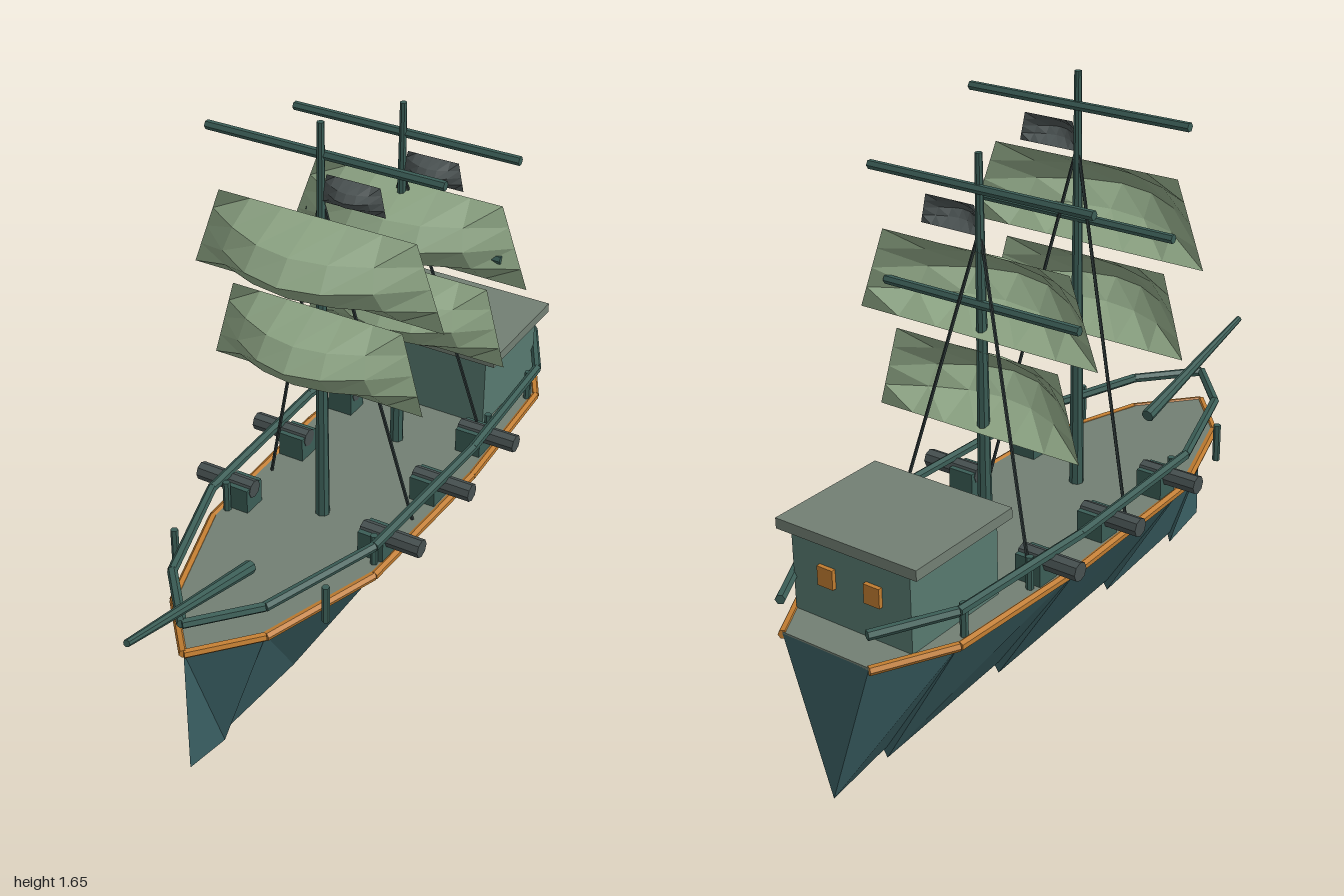
import * as THREE from 'three';

const mat = (color) => new THREE.MeshStandardMaterial({ color, flatShading: true, side: THREE.DoubleSide });
const M = {
  hull: mat(0x3a5f63), deck: mat(0x727f73), roof: mat(0x727f73), cabin: mat(0x57796f), spar: mat(0x3b5d56),
  trim: mat(0xc07c30), sail: mat(0x90a887), iron: mat(0x465050), rope: mat(0x2b3636), flag: mat(0x4c5454),
};

// Outline stations from bow to stern: [z, half width]
const STATIONS = [[0.775, 0], [0.61, 0.145], [0.25, 0.262], [-0.3, 0.278], [-0.785, 0.252], [-0.995, 0.14]];
const DECK_Y = 0.44;

function add(parent, name, geometry, material, x = 0, y = 0, z = 0) {
  const mesh = new THREE.Mesh(geometry, material);
  mesh.name = name;
  mesh.position.set(x, y, z);
  parent.add(mesh);
  return mesh;
}

const box = (w, h, d) => new THREE.BoxGeometry(w, h, d);

// Round bar from point a to point b
function bar(parent, name, a, b, r0, r1, material, sides = 6) {
  const from = new THREE.Vector3(...a), to = new THREE.Vector3(...b);
  const dir = to.clone().sub(from);
  const mesh = add(parent, name, new THREE.CylinderGeometry(r1, r0, dir.length(), sides), material);
  mesh.position.copy(from).add(to).multiplyScalar(0.5);
  mesh.quaternion.setFromUnitVectors(new THREE.Vector3(0, 1, 0), dir.normalize());
  return mesh;
}

function triangles(list) {
  const g = new THREE.BufferGeometry();
  g.setAttribute('position', new THREE.Float32BufferAttribute(list.flat(2), 3));
  g.computeVertexNormals();
  return g;
}

// V-shaped hull: each plank section starts slightly higher than the last one ended
function hullGeometry() {
  const tris = [];
  for (let i = 0; i < STATIONS.length - 1; i++) {
    const [z0, w0] = STATIONS[i], [z1, w1] = STATIONS[i + 1];
    const k0 = [0, 0.035, z0], k1 = [0, 0, z1];
    for (const s of [1, -1]) {
      const a = [s * w0, DECK_Y, z0], b = [s * w1, DECK_Y, z1];
      const faces = [[a, k0, k1], [a, k1, b], [b, k1, [0, 0.035, z1]]];
      if (i === STATIONS.length - 2) faces.push([b, [0, 0.035, z1], [0, DECK_Y, z1]]);
      for (const [p, q, r] of faces) tris.push(s > 0 ? [p, r, q] : [p, q, r]);
    }
  }
  return triangles(tris);
}

// Billowing cloth: a trapezoid sheet, bulged towards the front
function cloth(topHalf, bottomHalf, height, bulge, cols = 6, rows = 4) {
  const g = new THREE.PlaneGeometry(2, 1, cols, rows);
  const p = g.attributes.position;
  for (let i = 0; i < p.count; i++) {
    const u = p.getX(i), v = 0.5 - p.getY(i);
    const half = topHalf + (bottomHalf - topHalf) * v;
    p.setXYZ(i, u * half, -v * height, bulge * Math.cos(u * Math.PI / 2) * Math.sin(v * Math.PI));
  }
  g.computeVertexNormals();
  return g;
}

// Mast with yards, two sails, a flag and two stays
function mast(parent, name, z, top, sailZ, stayY, stayEndZ) {
  const g = new THREE.Group();
  g.name = name;
  parent.add(g);
  bar(g, 'mastPole', [0, DECK_Y, z], [0, top, z], 0.021, 0.01, M.spar, 8);
  bar(g, 'topYard', [-0.35, top - 0.092, z - 0.008], [0.35, top - 0.092, z - 0.008], 0.013, 0.013, M.spar);
  bar(g, 'middleYard', [-0.31, top - 0.4, z - 0.008], [0.31, top - 0.4, z - 0.008], 0.013, 0.013, M.spar);
  add(g, 'upperSail', cloth(0.295, 0.38, 0.235, 0.19), M.sail, 0, top - 0.25, sailZ);
  add(g, 'lowerSail', cloth(0.26, 0.325, 0.235, 0.165), M.sail, 0, top - 0.52, sailZ);
  add(g, 'flag', cloth(0.078, 0.095, 0.08, 0.052), M.flag, 0.095, top - 0.14, z);
  for (const s of [1, -1])
    bar(g, 'stay', [0, stayY, z], [s * 0.245, 0.4, stayEndZ], 0.005, 0.005, M.rope, 5);
}

export function createModel() {
  const ship = new THREE.Group();
  ship.name = 'sailingShip';

  // Hull and deck
  add(ship, 'hull', hullGeometry(), M.hull);
  const plan = new THREE.Shape([
    ...STATIONS.map(([z, w]) => new THREE.Vector2(w, -z)),
    ...STATIONS.slice(1).reverse().map(([z, w]) => new THREE.Vector2(-w, -z)),
  ]);
  const deck = new THREE.ExtrudeGeometry(plan, { depth: 0.01, bevelEnabled: false });
  deck.rotateX(-Math.PI / 2);
  add(ship, 'deck', deck, M.deck, 0, DECK_Y - 0.005, 0);

  // Edge trim and handrail follow the outline, open at the stern
  for (const s of [1, -1]) {
    for (let i = 0; i < STATIONS.length - 1; i++) {
      const [z0, w0] = STATIONS[i], [z1, w1] = STATIONS[i + 1];
      bar(ship, 'edgeTrim', [s * w0, 0.437, z0], [s * w1, 0.437, z1], 0.013, 0.013, M.trim);
      bar(ship, 'handrail', [s * w0, 0.537, z0], [s * w1, 0.537, z1], 0.014, 0.014, M.spar);
    }
    for (const z of [0.465, 0.21, -0.475, -0.75])
      bar(ship, 'railPost', [s * 0.24, 0.425, z], [s * 0.24, 0.54, z], 0.011, 0.011, M.spar);

    // Cannons
    for (const z of [0.16, -0.137, -0.42]) {
      add(ship, 'cannonCarriage', box(0.08, 0.075, 0.075), M.spar, s * 0.22, 0.4825, z);
      bar(ship, 'cannonBarrel', [s * 0.178, 0.508, z], [s * 0.36, 0.508, z], 0.027, 0.027, M.iron, 8);
    }
  }

  // Bowsprit
  bar(ship, 'bowsprit', [0, 0.505, 0.46], [0, 0.64, 1], 0.02, 0.01, M.spar, 8);

  // Stern cabin
  add(ship, 'cabin', box(0.38, 0.235, 0.345), M.cabin, 0, 0.555, -0.717);
  add(ship, 'cabinRoof', box(0.45, 0.03, 0.38), M.roof, 0, 0.685, -0.717);
  for (const x of [-0.075, 0.075]) add(ship, 'cabinWindow', box(0.05, 0.055, 0.015), M.trim, x, 0.575, -0.894);

  // Rigging
  mast(ship, 'foreMast', 0.083, 1.652, 0.112, 1.45, -0.022);
  mast(ship, 'aftMast', -0.347, 1.54, -0.378, 1.34, -0.467);

  return ship;
}
